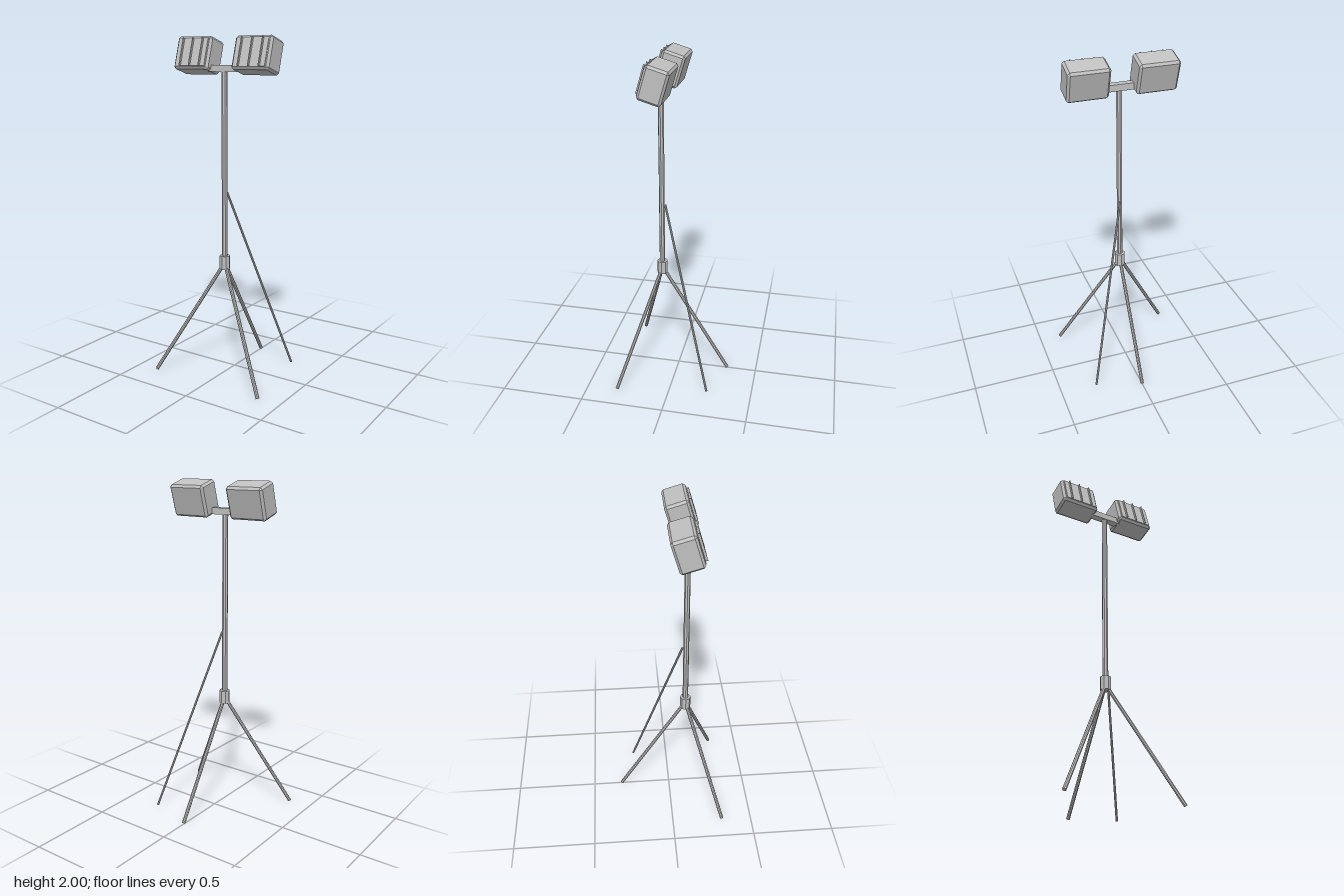
import * as THREE from 'three';
import { ConvexGeometry } from 'three/addons/geometries/ConvexGeometry.js';

const MAST_Z = 0.104;
const grey = new THREE.MeshStandardMaterial({ color: 0xc0c0c0, flatShading: true });
grey.name = 'greyMetal';

function part(name, geometry, parent, x = 0, y = 0, z = 0) {
  const mesh = new THREE.Mesh(geometry, grey);
  mesh.name = name;
  mesh.position.set(x, y, z);
  parent.add(mesh);
  return mesh;
}

// Octagonal rod between two points
function rod(name, from, to, radius, parent) {
  const axis = to.clone().sub(from);
  const mesh = part(name, new THREE.CylinderGeometry(radius, radius, axis.length(), 8), parent);
  mesh.position.copy(from).add(to).multiplyScalar(0.5);
  mesh.quaternion.setFromUnitVectors(new THREE.Vector3(0, 1, 0), axis.normalize());
  return mesh;
}

// Box with every edge cut at 45 degrees
function chamferedBox(w, h, d, c) {
  const points = [];
  for (const sx of [-1, 1]) for (const sy of [-1, 1]) for (const sz of [-1, 1]) {
    for (let flat = 0; flat < 3; flat++) {
      const cut = [c, c, c];
      cut[flat] = 0;
      points.push(new THREE.Vector3(
        sx * (w / 2 - cut[0]), sy * (h / 2 - cut[1]), sz * (d / 2 - cut[2])));
    }
  }
  return new ConvexGeometry(points);
}

// Lamp housing, glass and guard bars, tilted upwards
function lampHead(name, x, parent) {
  const head = new THREE.Group();
  head.name = name;
  head.position.set(x, 1.8925, 0.073);
  head.rotation.x = -0.29;
  part('lampHousing', chamferedBox(0.24, 0.191, 0.136, 0.013), head);
  part('lampGlass', new THREE.BoxGeometry(0.2, 0.16, 0.006), head, 0, 0, 0.069);
  for (const bx of [-0.067, 0, 0.067]) {
    part('guardBar', new THREE.BoxGeometry(0.006, 0.16, 0.014), head, bx, 0, 0.077);
  }
  parent.add(head);
}

export function createModel() {
  const model = new THREE.Group();
  model.name = 'tripodWorkLight';

  // Mast, collar and cross arm
  part('mast', new THREE.CylinderGeometry(0.017, 0.017, 1.15, 8), model, 0, 1.235, MAST_Z);
  part('collar', new THREE.CylinderGeometry(0.032, 0.032, 0.08, 8), model, 0, 0.695, MAST_Z);
  part('crossArm', new THREE.BoxGeometry(0.2, 0.038, 0.043), model, 0, 1.822, 0.102);

  // Three splayed legs
  for (let i = 0; i < 3; i++) {
    const a = Math.PI + i * Math.PI * 2 / 3;
    const at = (r, y) => new THREE.Vector3(Math.sin(a) * r, y, MAST_Z + Math.cos(a) * r);
    rod('leg', at(0.012, 0.672), at(0.42, 0.006), 0.011, model);
  }

  // Thin rear stay
  rod('stay', new THREE.Vector3(0.004, 1.11, 0.083), new THREE.Vector3(0.276, 0.006, -0.229), 0.007, model);

  lampHead('leftLamp', 0.199, model);
  lampHead('rightLamp', -0.199, model);
  return model;
}
